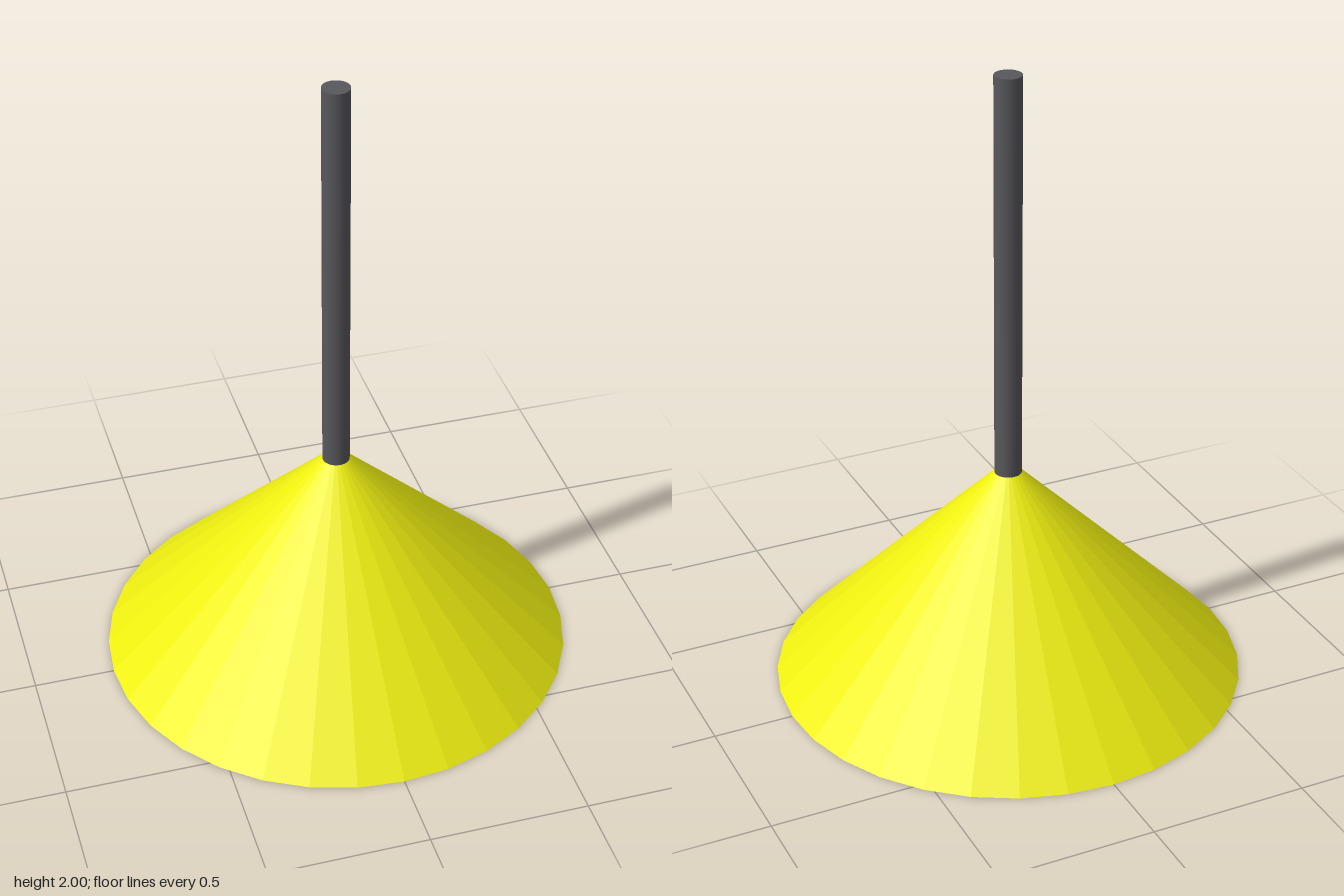
import * as THREE from 'three';

const SIDES = 32;
const ROD_RADIUS = 0.043;
const SHADE_RADIUS = 0.745;
const SHADE_HEIGHT = 0.7;
const TOTAL_HEIGHT = 2;

export function createModel() {
  const model = new THREE.Group();
  model.name = 'pendantLamp';

  // Faceted conical shade, open underneath
  const shade = new THREE.Mesh(
    new THREE.CylinderGeometry(ROD_RADIUS, SHADE_RADIUS, SHADE_HEIGHT, SIDES, 1, true),
    new THREE.MeshStandardMaterial({ color: 0xeeee11, flatShading: true, side: THREE.DoubleSide })
  );
  shade.name = 'shade';
  shade.position.y = SHADE_HEIGHT / 2;
  model.add(shade);

  // Hanging rod, capped at both ends, standing on the neck of the shade
  const rodLength = TOTAL_HEIGHT - SHADE_HEIGHT;
  const rod = new THREE.Mesh(
    new THREE.CylinderGeometry(ROD_RADIUS, ROD_RADIUS, rodLength, SIDES),
    new THREE.MeshStandardMaterial({ color: 0x58585c })
  );
  rod.name = 'rod';
  rod.position.y = SHADE_HEIGHT + rodLength / 2;
  model.add(rod);

  return model;
}
